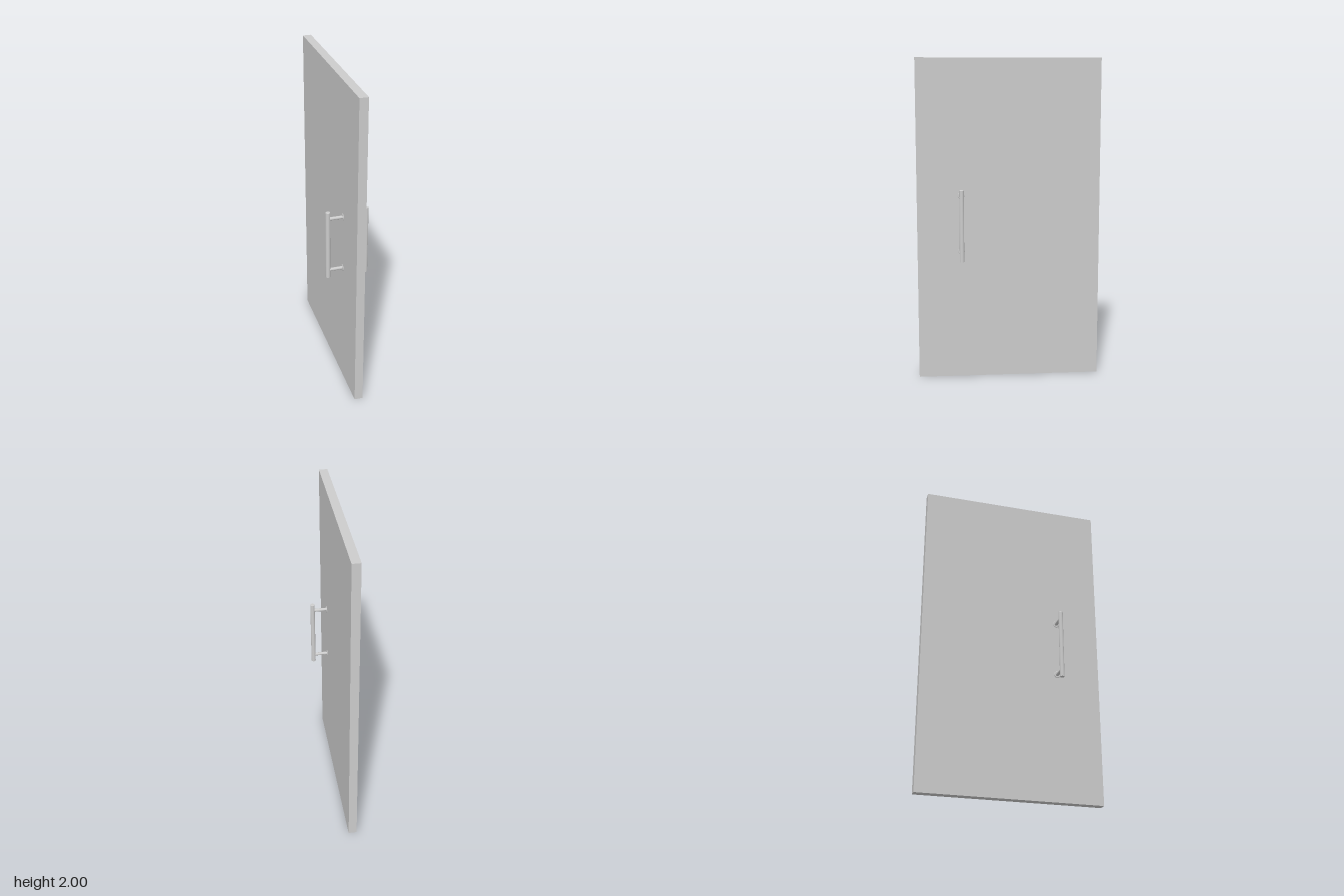
import * as THREE from 'three';

const material = new THREE.MeshStandardMaterial({ color: 0xcccccc });

// Lathe with hard edges: each straight run of the profile is kept separate by doubled points
function turned(name, profile, segments = 32) {
  const points = [];
  for (let i = 0; i < profile.length - 1; i++) {
    points.push(new THREE.Vector2(...profile[i]), new THREE.Vector2(...profile[i + 1]));
  }
  const geometry = new THREE.LatheGeometry(points, segments).toNonIndexed();
  geometry.computeVertexNormals();
  // Smooth around the axis: average normals of faces that share a profile run
  const normal = geometry.attributes.normal, position = geometry.attributes.position;
  for (let i = 0; i < normal.count; i++) {
    const x = position.getX(i), z = position.getZ(i);
    const r = Math.hypot(x, z);
    if (r < 1e-6) continue;
    const radial = Math.hypot(normal.getX(i), normal.getZ(i));
    normal.setXYZ(i, (x / r) * radial, normal.getY(i), (z / r) * radial);
  }
  const mesh = new THREE.Mesh(geometry, material);
  mesh.name = name;
  return mesh;
}

// One pull handle, standing out along +x from the door face
function createHandle(name, faceX) {
  const handle = new THREE.Group();
  handle.name = name;
  const barX = 0.118, r = 0.014, half = 0.223, bevel = 0.002;

  // Upright grip with slightly bevelled ends
  const grip = turned('grip', [
    [0, -half], [r - bevel, -half], [r, -half + bevel],
    [r, half - bevel], [r - bevel, half], [0, half],
  ]);
  grip.position.set(barX, 0.982, 0);
  handle.add(grip);

  for (const [label, y] of [['lower', 0.81], ['upper', 1.16]]) {
    // Post from the door to the grip
    const length = barX - faceX;
    const post = new THREE.Mesh(new THREE.CylinderGeometry(0.01, 0.01, length, 32), material);
    post.name = label + 'Post';
    post.rotation.z = -Math.PI / 2;
    post.position.set(faceX + length / 2, y, 0);

    // Thin round rose against the door
    const rose = turned(label + 'Rose', [[0, 0], [0.021, 0], [0.021, 0.001], [0.019, 0.003], [0, 0.003]]);
    rose.rotation.z = -Math.PI / 2;
    rose.position.set(faceX, y, 0);
    handle.add(post, rose);
  }
  return handle;
}

export function createModel() {
  const model = new THREE.Group();
  model.name = 'door';
  const thickness = 0.052;

  // Plain door leaf
  const leaf = new THREE.Mesh(new THREE.BoxGeometry(thickness, 2, 1.14), material);
  leaf.name = 'doorLeaf';
  leaf.position.y = 1;
  model.add(leaf);

  // Matching handles on both faces
  for (const [name, turn] of [['leftHandle', 0], ['rightHandle', Math.PI]]) {
    const handle = createHandle(name, thickness / 2);
    handle.rotation.y = turn;
    handle.position.z = 0.297;
    model.add(handle);
  }
  return model;
}
